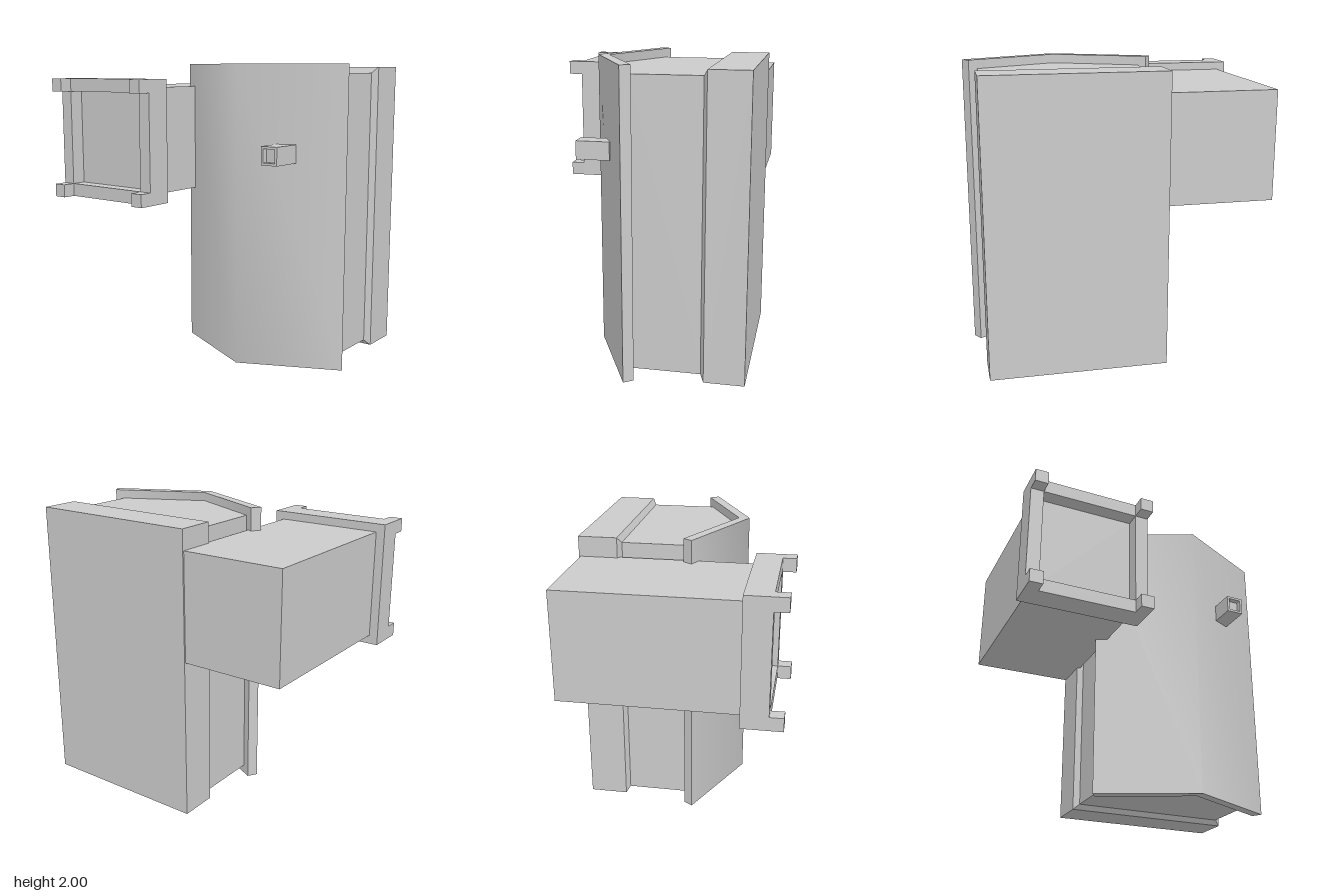
import * as THREE from 'three';
import { toCreasedNormals } from 'three/addons/utils/BufferGeometryUtils.js';

const material = new THREE.MeshStandardMaterial({ color: 0xcccccc });

function add(parent, name, geometry) {
  const mesh = new THREE.Mesh(geometry, material);
  mesh.name = name;
  parent.add(mesh);
  return mesh;
}

// Box given by its two extreme corners
function block(x0, x1, y0, y1, z0, z1) {
  return new THREE.BoxGeometry(x1 - x0, y1 - y0, z1 - z0)
    .translate((x0 + x1) / 2, (y0 + y1) / 2, (z0 + z1) / 2);
}

// Plan outline of [x, z] points raised from y0 to y1
function prism(points, y0, y1) {
  const shape = new THREE.Shape(points.map(([x, z]) => new THREE.Vector2(x, -z)));
  return new THREE.ExtrudeGeometry(shape, { depth: y1 - y0, bevelEnabled: false })
    .rotateX(-Math.PI / 2).translate(0, y0, 0);
}

function rectangle(path, x0, x1, y0, y1) {
  path.moveTo(x0, y0);
  path.lineTo(x1, y0);
  path.lineTo(x1, y1);
  path.lineTo(x0, y1);
  path.closePath();
  return path;
}

// Block with a square recess sunk into its front face
function recessedBlock(name, x0, x1, y0, y1, z0, z1, wall, depth) {
  const group = new THREE.Group();
  group.name = name;
  add(group, name + 'Base', block(x0, x1, y0, y1, z0, z1 - depth));
  const rim = rectangle(new THREE.Shape(), x0, x1, y0, y1);
  rim.holes.push(rectangle(new THREE.Path(), x0 + wall, x1 - wall, y0 + wall, y1 - wall));
  add(group, name + 'Rim', new THREE.ExtrudeGeometry(rim, { depth, bevelEnabled: false })
    .translate(0, 0, z1 - depth));
  return group;
}

export function createModel() {
  const model = new THREE.Group();
  model.name = 'cabinetWithSideDuct';

  // Main body with a pointed front
  add(model, 'body', prism(
    [[-0.2, -0.45], [-0.2, 0.012], [0.35, 0.275], [0.9, 0.012], [0.9, -0.45]], 0.06, 1.94));

  // Folded front panel, smooth across its ridge
  const panel = prism([[-0.295, 0.045], [0.35, 0.35], [0.995, 0.045],
    [0.955, -0.015], [0.35, 0.275], [-0.255, -0.015]], 0, 2);
  add(model, 'frontPanel', toCreasedNormals(panel, 1.05));

  // Wider back housing with a sloped lip narrowing to the body
  add(model, 'backHousing', block(-0.24, 0.94, 0.025, 1.98, -0.72, -0.46));
  const lip = block(-0.24, 0.94, 0.025, 1.98, -0.46, -0.435);
  const pos = lip.attributes.position;
  for (let i = 0; i < pos.count; i++) {
    if (pos.getZ(i) > -0.45) {
      pos.setX(i, pos.getX(i) > 0.35 ? 0.9 : -0.2);
      pos.setY(i, pos.getY(i) > 1 ? 1.94 : 0.06);
    }
  }
  add(model, 'backHousingLip', toCreasedNormals(lip, 0.2));

  // Hollow-ended handle
  model.add(recessedBlock('handle', 0.585, 0.705, 1.37, 1.49, 0.19, 0.41, 0.016, 0.04));

  // Side duct with its recessed front frame
  add(model, 'sideDuct', block(-0.94, -0.22, 1.12, 1.845, -0.71, 0.46));
  model.add(recessedBlock('ductFrame', -1, -0.16, 1.06, 1.9, 0.45, 0.625, 0.09, 0.1));

  // Four corner studs on the frame
  for (const x of [-1, -0.25]) {
    for (const y of [1.06, 1.81]) {
      add(model, 'cornerStud', block(x, x + 0.09, y, y + 0.09, 0.625, 0.715));
    }
  }
  return model;
}
